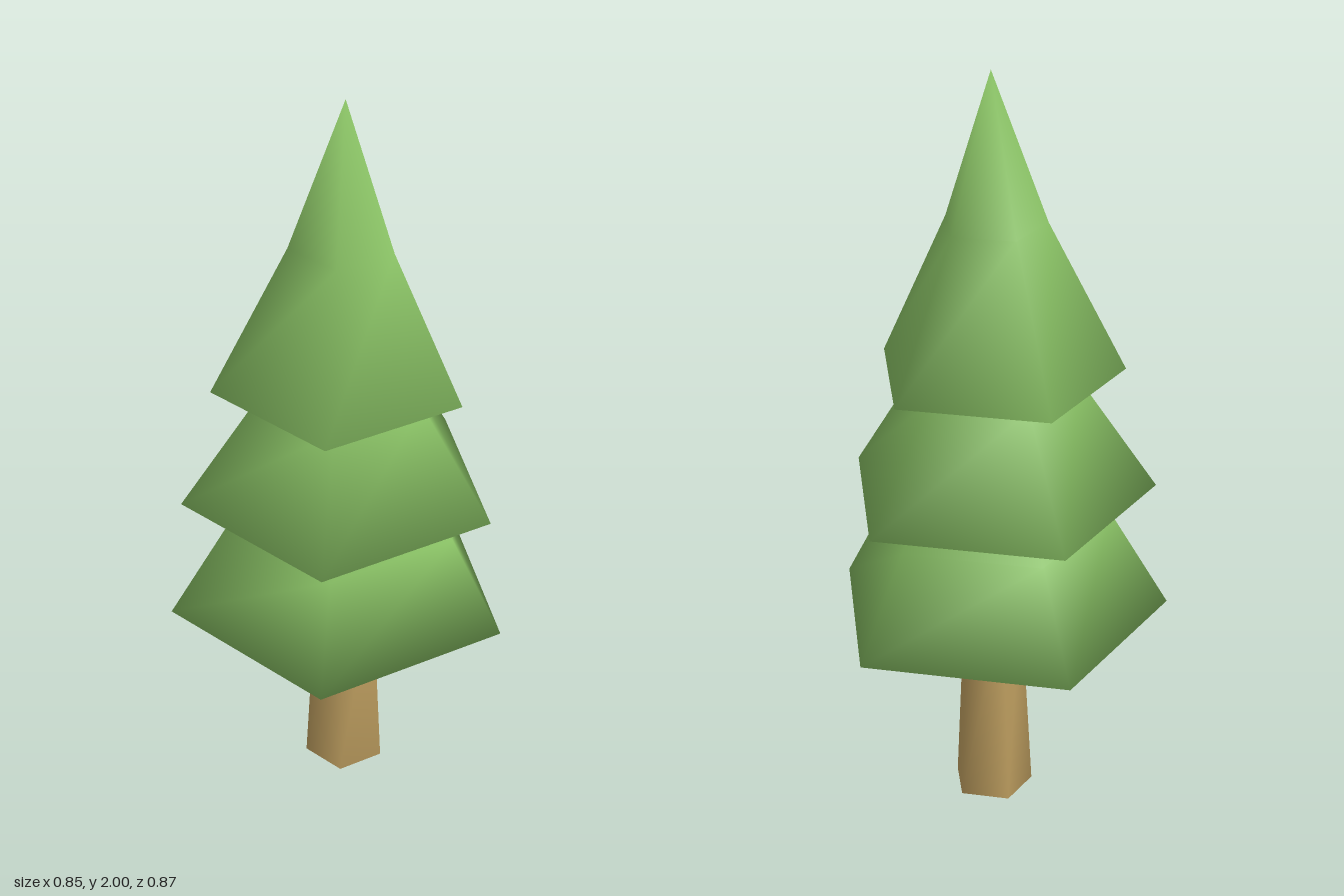
import * as THREE from 'three';

const SIDES = 5;
const TURN = 0.071; // rotation of the pentagons

// Closed five-sided solid with shared (smooth) vertices.
// rings: [x, y, z, radius] from bottom to top; tip: top centre point.
function pentagonSolid(rings, tip) {
  const pos = [], idx = [];
  for (const [cx, y, cz, r] of rings) {
    for (let i = 0; i < SIDES; i++) {
      const a = TURN + (i / SIDES) * Math.PI * 2;
      pos.push(cx + r * Math.cos(a), y, cz + r * Math.sin(a));
    }
  }
  const base = rings.length * SIDES, top = base + 1;
  pos.push(rings[0][0], rings[0][1], rings[0][2], ...tip);
  const last = (rings.length - 1) * SIDES;
  for (let i = 0; i < SIDES; i++) {
    const n = (i + 1) % SIDES;
    idx.push(base, i, n);
    for (let k = 0; k < last; k += SIDES) {
      const p = k + i, q = k + n;
      idx.push(q, p, p + SIDES, q, p + SIDES, q + SIDES);
    }
    idx.push(top, last + n, last + i);
  }
  const g = new THREE.BufferGeometry();
  g.setAttribute('position', new THREE.Float32BufferAttribute(pos, 3));
  g.setIndex(idx);
  g.computeVertexNormals();
  return g;
}

export function createModel() {
  const tree = new THREE.Group();
  tree.name = 'pineTree';
  const leafGreen = new THREE.MeshStandardMaterial({ color: 0x8bc466 });
  leafGreen.name = 'leafGreen';
  const barkBrown = new THREE.MeshStandardMaterial({ color: 0xbf9f60 });
  barkBrown.name = 'barkBrown';

  const add = (name, geometry, material) => {
    const mesh = new THREE.Mesh(geometry, material);
    mesh.name = name;
    tree.add(mesh);
  };

  // Tapered trunk
  add('trunk', pentagonSolid(
    [[-0.022, 0, -0.005, 0.109], [-0.018, 0.56, -0.005, 0.08]],
    [-0.018, 0.56, -0.005]), barkBrown);

  // Three overlapping foliage tiers, each with a skirt, a bend and a tip
  const tiers = [
    { name: 'lowerFoliage', y: 0.535, r: 0.46, midY: 0.8, midR: 0.31, tipY: 1.4 },
    { name: 'middleFoliage', y: 0.88, r: 0.421, midY: 1.19, midR: 0.217, tipY: 1.65 },
    { name: 'upperFoliage', y: 1.213, r: 0.334, midY: 1.61, midR: 0.138, tipY: 2 },
  ];
  for (const t of tiers) {
    add(t.name, pentagonSolid(
      [[-0.034, t.y, -0.012, t.r], [-0.024, t.midY, -0.006, t.midR]],
      [-0.014, t.tipY, 0]), leafGreen);
  }
  return tree;
}
